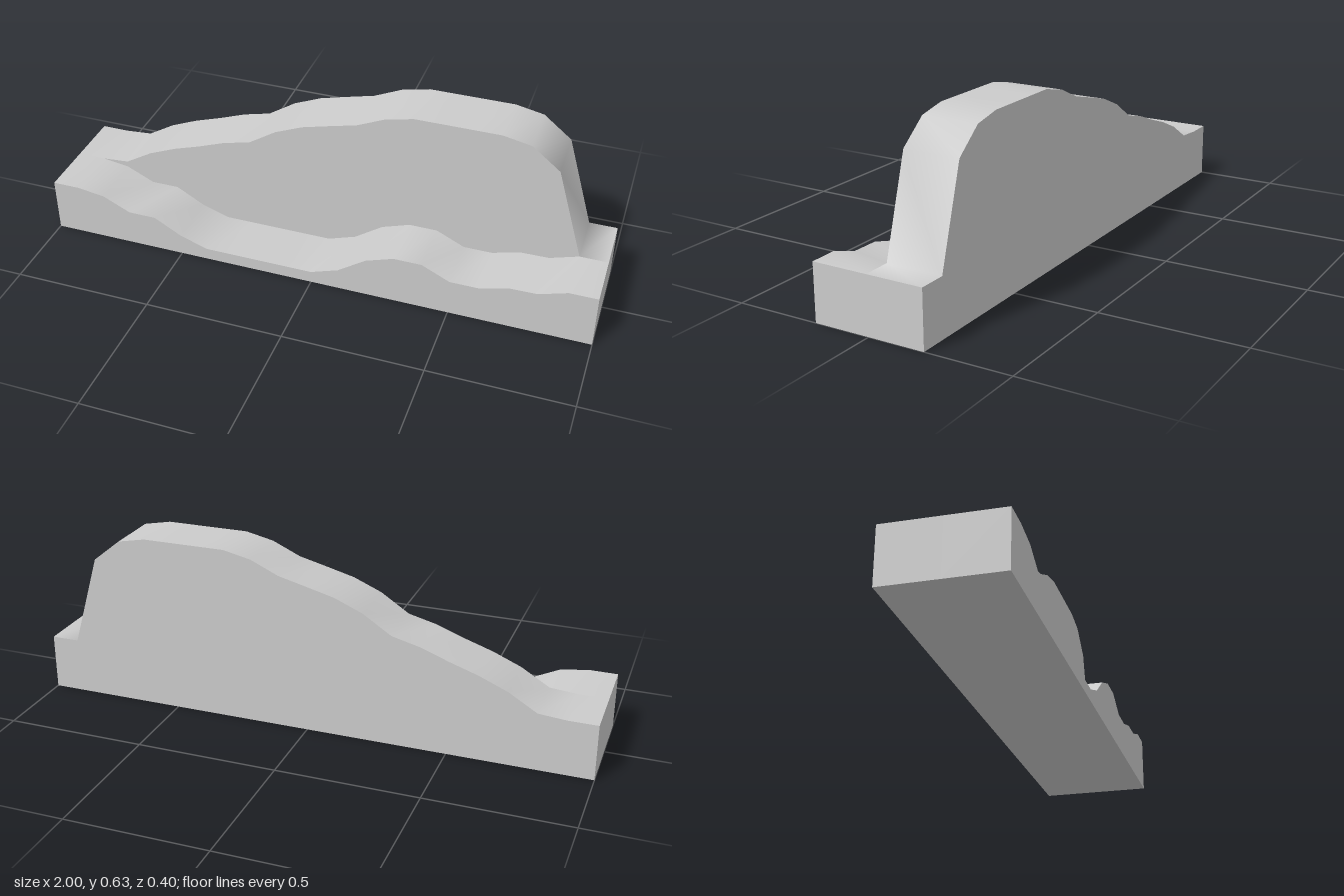
import * as THREE from 'three';

const material = new THREE.MeshStandardMaterial({ color: 0xcccccc });

// Heights at every 0.1 along x, from -1 to 1
const low = [0.2, 0.2, 0.185, 0.137, 0.137, 0.08, 0.045, 0.045, 0.045, 0.045, 0.045,
  0.08, 0.15, 0.185, 0.185, 0.137, 0.137, 0.165, 0.167, 0.2, 0.2];
const high = [0.2, 0.2, 0.208, 0.268, 0.31, 0.343, 0.38, 0.405, 0.47, 0.512, 0.538,
  0.563, 0.608, 0.63, 0.63, 0.63, 0.63, 0.61, 0.53, 0.2, 0.2];
const D = 0.2; // half depth

// Surface ruled between two polylines of equal length, smooth along them
function ruled(name, from, to) {
  const position = [], index = [];
  from.forEach((p, i) => {
    position.push(...p, ...to[i]);
    if (i === 0) return;
    const a = 2 * i - 2, b = 2 * i;
    index.push(a, b, b + 1, a, b + 1, a + 1);
  });
  const geometry = new THREE.BufferGeometry();
  geometry.setAttribute('position', new THREE.Float32BufferAttribute(position, 3));
  geometry.setIndex(index);
  geometry.computeVertexNormals();
  const mesh = new THREE.Mesh(geometry, material);
  mesh.name = name;
  return mesh;
}

export function createModel() {
  const group = new THREE.Group();
  group.name = 'steppedTerrain';

  const line = (heights, z) => heights.map((y, i) => [(i - 10) / 10, y, z]);
  const ground = low.map(() => 0);
  const frontBase = line(ground, D), backBase = line(ground, -D);
  const frontEdge = line(low, D), cliffFoot = line(low, 0);
  const cliffTop = line(high, 0), backEdge = line(high, -D);

  // Long faces, taken in order around the cross-section
  group.add(
    ruled('frontWall', frontBase, frontEdge),
    ruled('lowerTerrain', frontEdge, cliffFoot),
    ruled('cliff', cliffFoot.slice(1, -1), cliffTop.slice(1, -1)),
    ruled('upperTerrain', cliffTop, backEdge),
    ruled('backWall', backEdge, backBase),
    ruled('underside', backBase, frontBase),
  );

  // End walls
  for (const s of [-1, 1]) {
    const edge = (y) => [[s, y, s * D], [s, y, 0], [s, y, -s * D]];
    group.add(ruled(s > 0 ? 'leftEnd' : 'rightEnd', edge(0), edge(0.2)));
  }
  return group;
}
